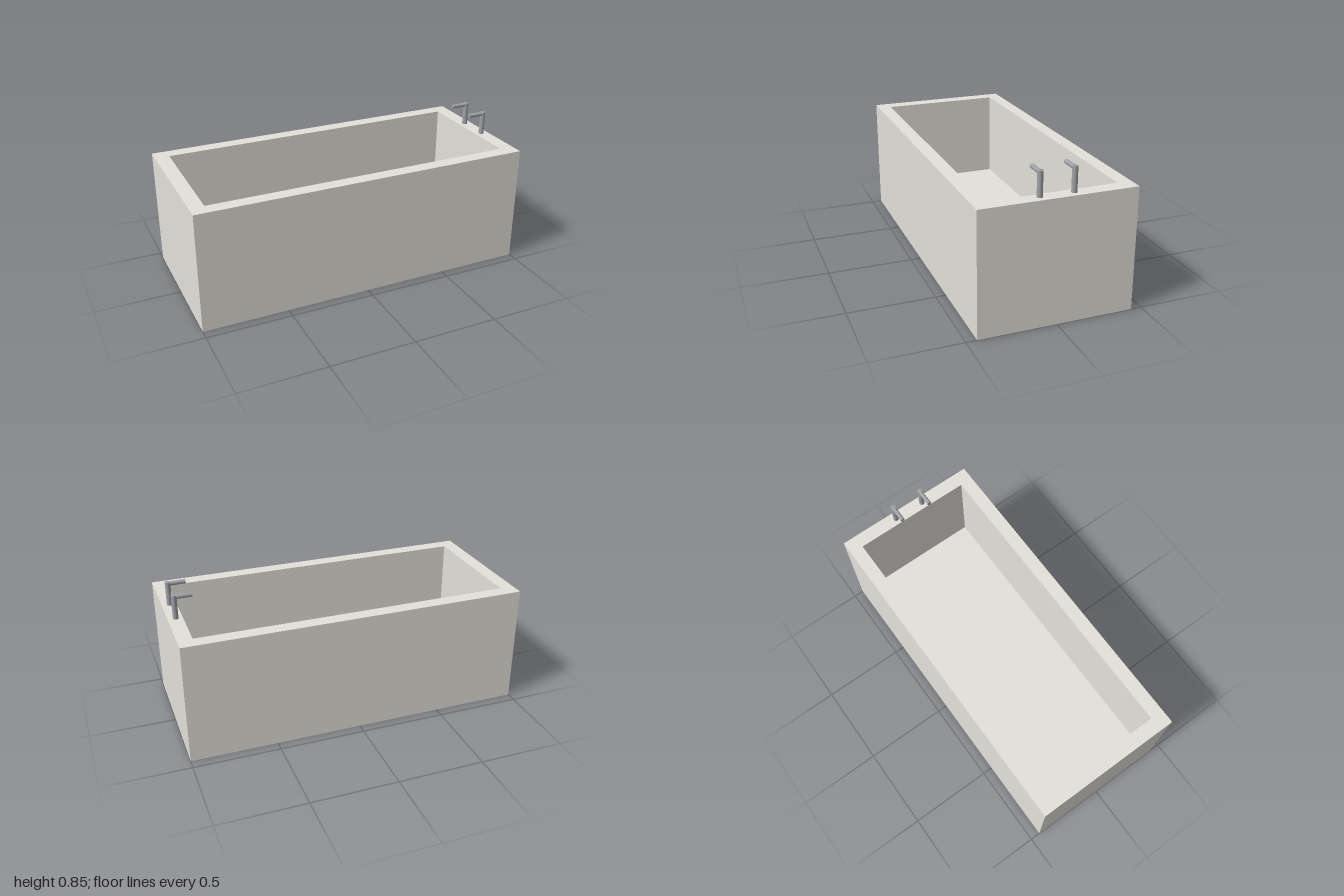
import * as THREE from 'three';

const HALF_X = 1, HALF_Z = 0.44, TOP = 0.707;
const IN_X = 0.916, IN_Z = 0.36, FLOOR = 0.167;

export function createModel() {
  const model = new THREE.Group();
  const stone = new THREE.MeshStandardMaterial({ color: 0xe3e1da, side: THREE.DoubleSide });
  stone.name = 'warm white stone';
  const metal = new THREE.MeshStandardMaterial({ color: 0xa0a2a6 });
  metal.name = 'grey metal';

  const add = (parent, name, geometry, material) => {
    const mesh = new THREE.Mesh(geometry, material);
    mesh.name = name;
    parent.add(mesh);
    return mesh;
  };

  // Four thin walls around a rectangle; dir = 1 faces outwards, -1 inwards
  const addWalls = (name, hx, hz, y0, y1, dir) => {
    const walls = new THREE.Group();
    walls.name = name;
    for (let i = 0; i < 4; i++) {
      const alongX = i % 2 === 0;
      const geometry = new THREE.PlaneGeometry(2 * (alongX ? hx : hz), y1 - y0);
      if (dir < 0) geometry.rotateY(Math.PI);
      geometry.translate(0, (y0 + y1) / 2, alongX ? hz : hx);
      geometry.rotateY(i * Math.PI / 2);
      add(walls, 'wall', geometry, stone);
    }
    model.add(walls);
  };
  addWalls('outerWalls', HALF_X, HALF_Z, 0, TOP, 1);
  addWalls('innerWalls', IN_X, IN_Z, FLOOR, TOP, -1);

  // Flat rim with the basin opening
  const rectangle = (path, hx, hz) =>
    path.moveTo(-hx, -hz).lineTo(hx, -hz).lineTo(hx, hz).lineTo(-hx, hz).closePath();
  const rimShape = rectangle(new THREE.Shape(), HALF_X, HALF_Z);
  rimShape.holes.push(rectangle(new THREE.Path(), IN_X, IN_Z));
  add(model, 'rim', new THREE.ShapeGeometry(rimShape).rotateX(-Math.PI / 2), stone).position.y = TOP;

  // Basin floor, hanging inside the shell, which is open underneath
  add(model, 'basinFloor', new THREE.PlaneGeometry(2 * IN_X, 2 * IN_Z).rotateX(-Math.PI / 2), stone)
    .position.y = FLOOR;

  // Pair of taps: upright pipe and horizontal spout
  for (const side of [1, -1]) {
    const tap = new THREE.Group();
    tap.name = side > 0 ? 'frontTap' : 'backTap';
    tap.position.set(0.955, 0, side * 0.094);
    const height = 0.847 - TOP;
    add(tap, 'tapPipe', new THREE.CylinderGeometry(0.0155, 0.0155, height, 20), metal)
      .position.y = TOP + height / 2;
    add(tap, 'tapSpout', new THREE.CylinderGeometry(0.0125, 0.0125, 0.1, 20).rotateZ(Math.PI / 2), metal)
      .position.set(-0.05, 0.8365, 0);
    model.add(tap);
  }
  return model;
}
